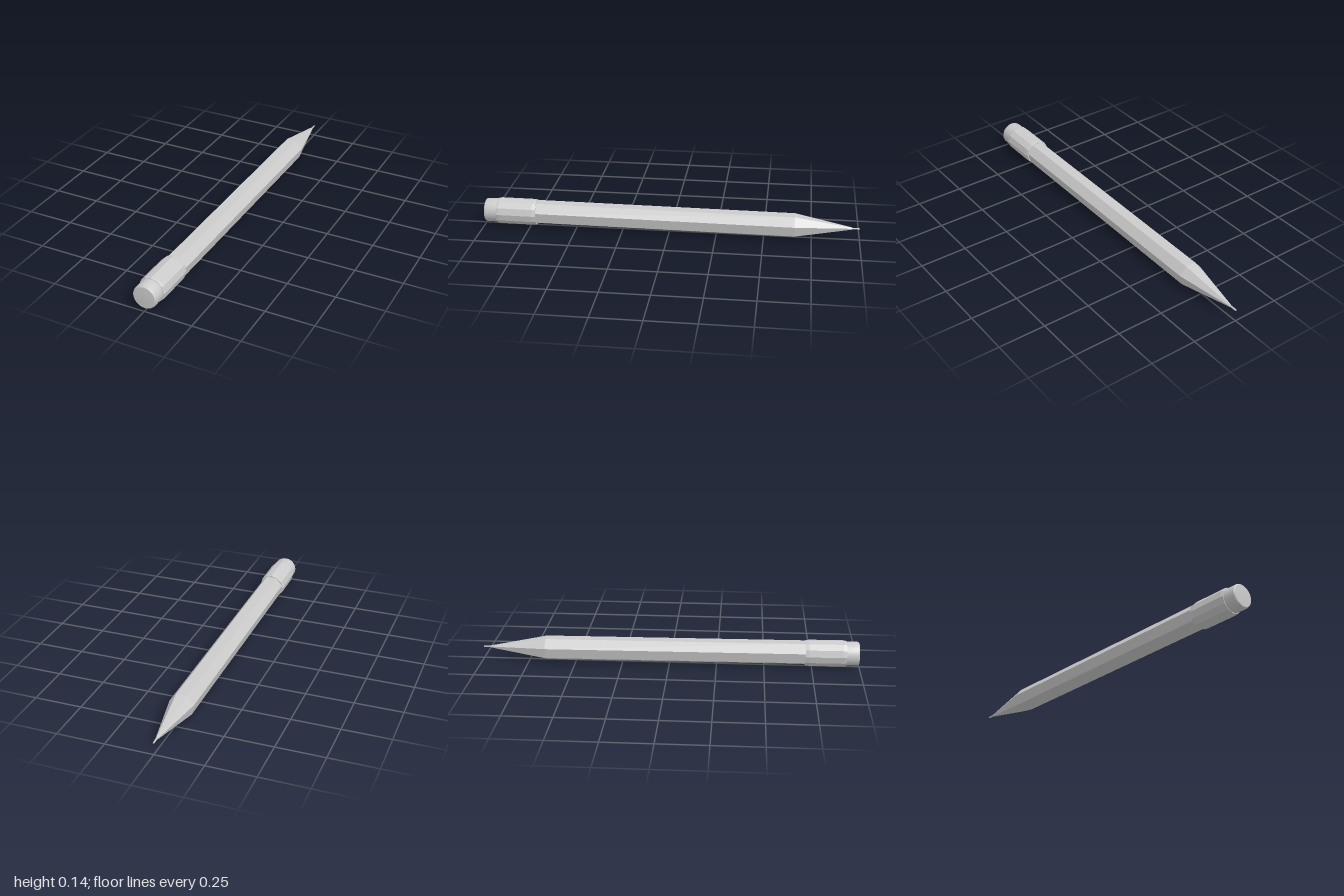
import * as THREE from 'three';
import { toCreasedNormals } from 'three/addons/utils/BufferGeometryUtils.js';

// Turned solid along z; profile is a list of [radius, z] from back of -z to +z.
// The first side corner points straight down.
function turned(name, profile, sides, smooth = false) {
  const points = profile.map(([r, z]) => new THREE.Vector2(r, z));
  let geometry = new THREE.LatheGeometry(points, sides);
  geometry.rotateX(Math.PI / 2);
  if (smooth) geometry = toCreasedNormals(geometry, 0.5);
  const material = new THREE.MeshStandardMaterial({ color: 0xcccccc, flatShading: !smooth });
  const mesh = new THREE.Mesh(geometry, material);
  mesh.name = name;
  return mesh;
}

export function createModel() {
  const group = new THREE.Group();
  group.name = 'pencil';

  const pencil = new THREE.Group();
  pencil.name = 'pencilBody';

  // Seven-sided shaft and its sharpened wooden cone
  pencil.add(turned('shaft', [[0.065, -0.66], [0.065, 0.73], [0, 0.73]], 7));
  pencil.add(turned('sharpenedCone', [[0, -0.96], [0.006, -0.96], [0.065, -0.66]], 7));

  // Thin lead point
  pencil.add(turned('lead', [[0, -1], [0.003, -1], [0.0045, -0.99], [0.0045, -0.94]], 8));

  // Twelve-sided ferrule with narrow bevelled ends
  pencil.add(turned('ferrule', [
    [0.05, 0.715], [0.067, 0.715], [0.07, 0.735],
    [0.07, 0.915], [0.067, 0.93], [0.05, 0.93],
  ], 12));

  // Eraser with a small rounded rim and a nearly flat end
  pencil.add(turned('eraser', [
    [0.063, 0.92], [0.063, 0.985], [0.061, 0.992], [0.057, 0.996], [0, 1],
  ], 24, true));

  // Lying on the ground, the wider ferrule lifts the back end slightly
  pencil.rotation.x = -0.0055;
  pencil.position.y = 0.0686;
  group.add(pencil);
  return group;
}
